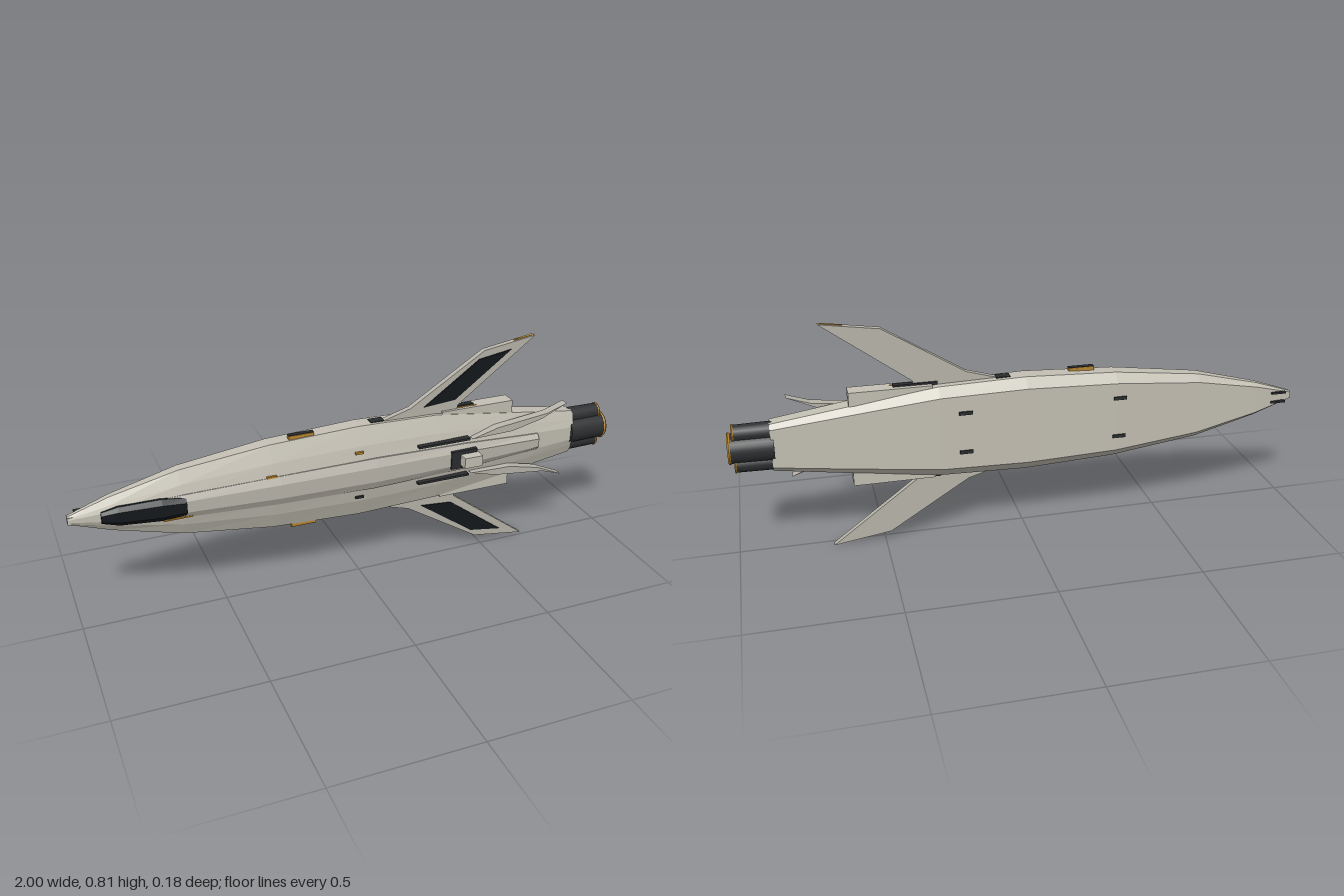
import * as THREE from 'three';

const mat = (color, flat = true) => new THREE.MeshStandardMaterial({ color, flatShading: flat });
const HULL = mat(0xc4c0b4), PANEL = mat(0xb9b5ab), DARK = mat(0x2a2c2e), GLASS = mat(0x14181c), GOLD = mat(0xb8862f);
const PIPE = mat(0x2e3032, false);

// Loft closed [y, z] rings placed along x, with flat end caps
function loft(rings) {
  const n = rings[0].pts.length, pos = [], idx = [];
  rings.forEach(r => r.pts.forEach(([y, z]) => pos.push(r.x, y, z)));
  for (let i = 0; i < rings.length - 1; i++) {
    for (let j = 0; j < n; j++) {
      const a = i * n + j, b = i * n + (j + 1) % n;
      idx.push(a, b, a + n, b, b + n, a + n);
    }
  }
  const e = (rings.length - 1) * n;
  for (let j = 1; j < n - 1; j++) idx.push(0, j + 1, j, e, e + j, e + j + 1);
  const g = new THREE.BufferGeometry();
  g.setAttribute('position', new THREE.Float32BufferAttribute(pos, 3));
  g.setIndex(idx);
  const flat = g.toNonIndexed();
  flat.computeVertexNormals();
  return flat;
}

// Complete a half ring by mirroring it across y = 0
const mirrored = half => [...half, ...half.slice().reverse().map(([y, z]) => [-y, z])];

export function createModel() {
  const model = new THREE.Group();
  model.name = 'spaceship';
  const ship = new THREE.Group();
  ship.name = 'shipBody';
  ship.position.y = 0.405;
  model.add(ship);

  const add = (name, geometry, material) => {
    const m = new THREE.Mesh(geometry, material);
    m.name = name;
    ship.add(m);
    return m;
  };
  // Box given by its limits on each axis
  const box = (name, material, x0, x1, y0, y1, z0, z1) =>
    add(name, new THREE.BoxGeometry(x1 - x0, y1 - y0, z1 - z0), material)
      .position.set((x0 + x1) / 2, (y0 + y1) / 2, (z0 + z1) / 2);
  // Plate outlined in x, y and extruded from z0 to z1
  const plate = (name, material, pts, s, z0, z1) => {
    const shape = new THREE.Shape(pts.map(([x, y]) => new THREE.Vector2(x, y * s)));
    const g = new THREE.ExtrudeGeometry(shape, { depth: z1 - z0, bevelEnabled: false });
    add(name, g.translate(0, 0, z0), material);
  };

  // Main hull: x, half width, belly z, lower side z, upper side z, shoulder z, deck z
  const stations = [
    [-1.0, 0.014, -0.044, -0.038, -0.026, -0.02, -0.018],
    [-0.86, 0.062, -0.058, -0.044, -0.022, -0.008, 0.0],
    [-0.63, 0.12, -0.074, -0.05, -0.012, 0.008, 0.018],
    [-0.32, 0.158, -0.086, -0.056, -0.003, 0.02, 0.032],
    [0.0, 0.172, -0.086, -0.058, 0.0, 0.024, 0.036],
    [0.3, 0.164, -0.084, -0.058, 0.0, 0.022, 0.034],
    [0.6, 0.122, -0.074, -0.055, 0.0, 0.016, 0.026],
    [0.86, 0.084, -0.064, -0.05, -0.005, 0.006, 0.014]
  ];
  add('hull', loft(stations.map(([x, w, zb, zs, zt, zr, zc]) => ({
    x, pts: mirrored([[w * 0.8, zb], [w, zs], [w, zt], [w * 0.62, zr], [w * 0.3, zc]])
  }))), HULL);

  // Dorsal spine: x, half width, base z, top z
  add('spine', loft([
    [-0.88, 0.022, -0.02, 0.003], [-0.62, 0.042, 0.0, 0.03], [-0.3, 0.053, 0.01, 0.046],
    [0.05, 0.058, 0.015, 0.053], [0.4, 0.05, 0.01, 0.049], [0.7, 0.032, 0.0, 0.04]
  ].map(([x, w, zb, zt]) => ({
    x, pts: mirrored([[w, zb], [w, zb + (zt - zb) * 0.65], [w * 0.48, zt]])
  }))), PANEL);

  // Canopy
  add('canopy', loft([
    [-0.895, 0.02, -0.015, 0.008], [-0.84, 0.034, -0.01, 0.018],
    [-0.7, 0.04, 0.0, 0.032], [-0.62, 0.032, 0.005, 0.036]
  ].map(([x, w, zb, zt]) => ({
    x, pts: mirrored([[w, zb], [w, zb + (zt - zb) * 0.6], [w * 0.55, zt]])
  }))), GLASS);
  box('noseTip', HULL, -1, -0.975, -0.013, 0.013, -0.044, -0.018);

  for (const s of [1, -1]) {
    const side = s > 0 ? 'Upper' : 'Lower';
    // Box mirrored to this side
    const sideBox = (name, m, x0, x1, y0, y1, z0, z1) =>
      box(name + side, m, x0, x1, s > 0 ? y0 : -y1, s > 0 ? y1 : -y0, z0, z1);

    // Swept wing with a dark inset and gold tip
    plate('wing' + side, PANEL, [[0.08, 0.165], [0.2, 0.2], [0.48, 0.375], [0.68, 0.405],
      [0.385, 0.185], [0.37, 0.14]], s, -0.033, -0.012);
    plate('wingInset' + side, GLASS, [[0.25, 0.197], [0.46, 0.346], [0.585, 0.366], [0.37, 0.207]],
      s, -0.014, -0.008);
    plate('wingTipTrim' + side, GOLD, [[0.6, 0.392], [0.6, 0.396], [0.678, 0.4055], [0.678, 0.402]],
      s, -0.026, -0.018);

    // Tail fin
    plate('tailFin' + side, PANEL, [[0.42, 0.068], [0.52, 0.095], [0.72, 0.118], [0.8, 0.145],
      [0.7, 0.1], [0.58, 0.072]], s, 0.014, 0.046);

    // Side pod, vents and trims
    sideBox('sidePod', HULL, 0.32, 0.6, 0.122, 0.17, -0.057, -0.002);
    sideBox('podVent', DARK, 0.3, 0.45, 0.166, 0.176, -0.04, -0.02);
    sideBox('podTrim', GOLD, 0.23, 0.46, 0.16, 0.1715, -0.02, -0.014);
    sideBox('sidePort', DARK, 0.05, 0.1, 0.162, 0.173, -0.043, -0.012);
    sideBox('sideMarker', GOLD, -0.25, -0.16, 0.155, 0.175, -0.027, -0.006);
    sideBox('sideMarkerCap', DARK, -0.25, -0.16, 0.1745, 0.177, -0.025, -0.008);
    sideBox('spineVent', DARK, 0.21, 0.41, 0.067, 0.075, 0.02, 0.048);
    sideBox('deckMarker', s > 0 ? GOLD : DARK, -0.025, 0.005, 0.082, 0.09, 0.025, 0.036);
    sideBox('noseSlot', DARK, -0.975, -0.92, 0.014, 0.021, -0.059, -0.045);
    for (const x of [-0.33, 0.215]) sideBox('bellyPort', DARK, x - 0.023, x + 0.023, 0.066, 0.078, -0.09, -0.07);

    // Secondary engine
    add('smallEngine' + side, new THREE.CylinderGeometry(0.029, 0.031, 0.13, 20).rotateZ(-Math.PI / 2), PIPE)
      .position.set(0.915, s * 0.055, -0.03);
    add('smallEngineRing' + side, new THREE.TorusGeometry(0.028, 0.004, 6, 24).rotateY(Math.PI / 2), GOLD)
      .position.set(0.979, s * 0.055, -0.03);
  }
  box('canopyTrim', GOLD, -0.7, -0.6, -0.042, -0.037, 0.012, 0.024);
  box('spineMarker', GOLD, -0.345, -0.31, 0.052, 0.059, 0.025, 0.037);

  // Sensor on the spine
  box('sensorBase', DARK, 0.335, 0.435, -0.034, 0.034, 0.03, 0.056);
  box('sensorHead', HULL, 0.37, 0.44, -0.02, 0.02, 0.05, 0.092);
  box('sensorEye', DARK, 0.43, 0.442, -0.013, 0.013, 0.064, 0.083);

  // Main engine
  add('mainEngine', new THREE.CylinderGeometry(0.05, 0.052, 0.145, 28).rotateZ(-Math.PI / 2), PIPE)
    .position.set(0.9225, 0, -0.025);
  add('mainEngineRing', new THREE.TorusGeometry(0.049, 0.0055, 6, 32).rotateY(Math.PI / 2), GOLD)
    .position.set(0.9945, 0, -0.025);
  return model;
}
